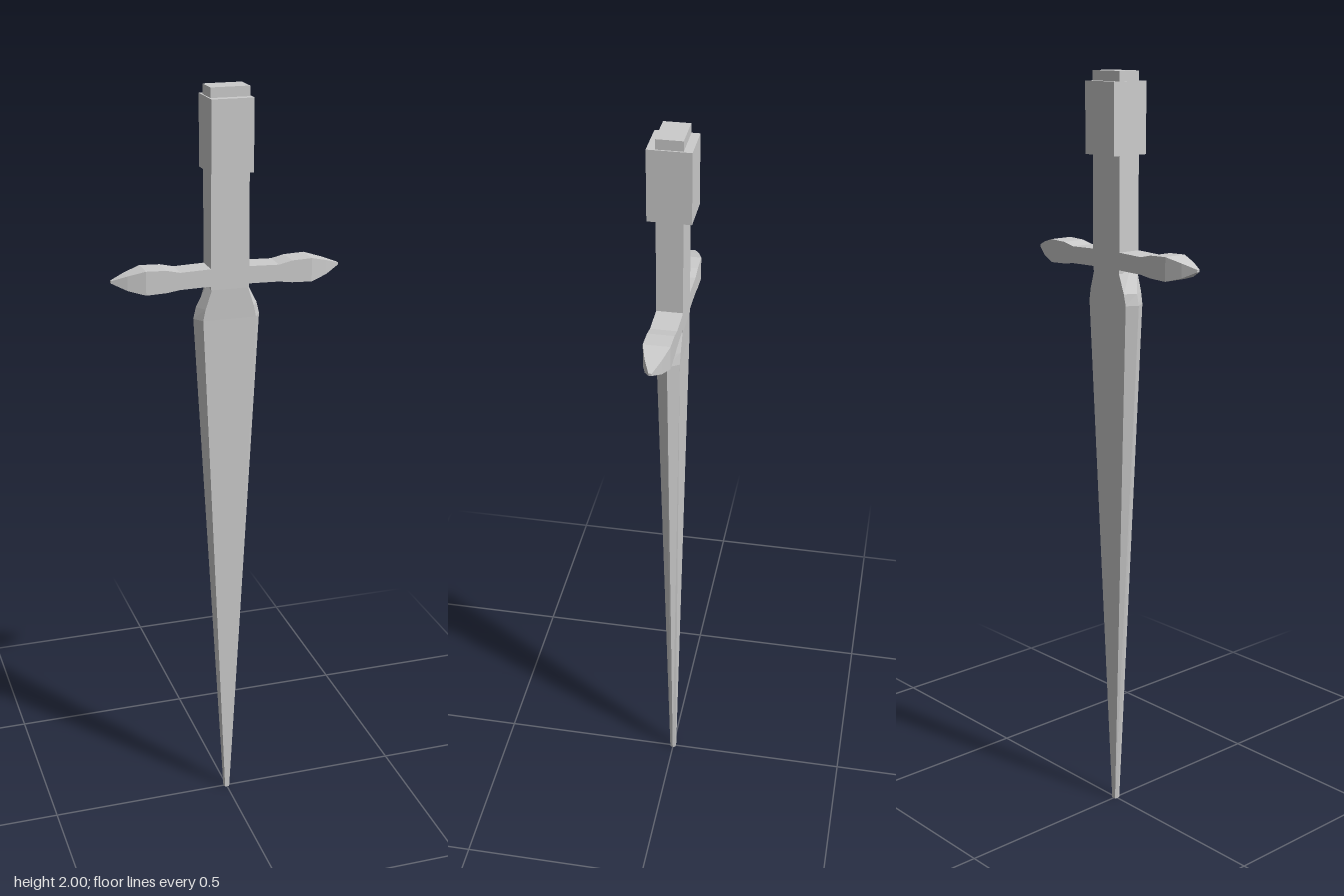
import * as THREE from 'three';

// Skin a list of rings (counter-clockwise seen from the end) and cap both ends
function loft(rings) {
  const pos = [];
  const n = rings[0].length;
  const tri = (a, b, c) => pos.push(...a, ...b, ...c);
  for (let j = 0; j < rings.length - 1; j++) {
    for (let i = 0; i < n; i++) {
      const k = (i + 1) % n;
      const [a, b, c, d] = [rings[j][i], rings[j][k], rings[j + 1][k], rings[j + 1][i]];
      tri(a, b, c);
      tri(a, c, d);
    }
  }
  const first = rings[0], last = rings[rings.length - 1];
  for (let i = 1; i < n - 1; i++) {
    tri(first[0], first[i + 1], first[i]);
    tri(last[0], last[i], last[i + 1]);
  }
  const geo = new THREE.BufferGeometry();
  geo.setAttribute('position', new THREE.Float32BufferAttribute(pos, 3));
  geo.computeVertexNormals();
  return geo;
}

export function createModel() {
  const group = new THREE.Group();
  const steel = new THREE.MeshStandardMaterial({ color: 0xcccccc });
  steel.name = 'greySteel';

  const add = (name, geo) => {
    const mesh = new THREE.Mesh(geo, steel);
    mesh.name = name;
    group.add(mesh);
    return mesh;
  };

  // Blade: flat faces with bevelled edges; [y, edge half width, flat half width, half depth]
  const bladeSections = [
    [0, 0.009, 0.006, 0.008],
    [1.42, 0.088, 0.07, 0.029],
    [1.45, 0.081, 0.064, 0.03],
    [1.505, 0.053, 0.046, 0.032],
  ];
  add('blade', loft(bladeSections.map(([y, w, f, d]) => [
    [w, y, 0], [f, y, -d], [-f, y, -d], [-w, y, 0], [-f, y, d], [f, y, d],
  ])));

  // Grip, running up through the pommel block
  const grip = add('grip', new THREE.BoxGeometry(0.1, 0.5, 0.066));
  grip.position.y = 1.75;

  // Pommel block
  const pommel = add('pommel', new THREE.BoxGeometry(0.108, 0.18, 0.108));
  pommel.position.y = 1.885;

  // Crossguard arm: [x, bottom y, top y, half depth]
  const guardSections = [
    [0.04, 1.51, 1.555, 0.033],
    [0.13, 1.508, 1.552, 0.033],
    [0.165, 1.503, 1.56, 0.033],
    [0.218, 1.501, 1.562, 0.033],
    [0.262, 1.513, 1.55, 0.02],
    [0.3, 1.531, 1.537, 0.004],
  ];
  const guard = loft(guardSections.map(([x, b, t, d]) => [
    [x, t, -d], [x, t, d], [x, b, d], [x, b, -d],
  ]));
  add('leftGuard', guard);
  add('rightGuard', guard).rotation.y = Math.PI;

  return group;
}
